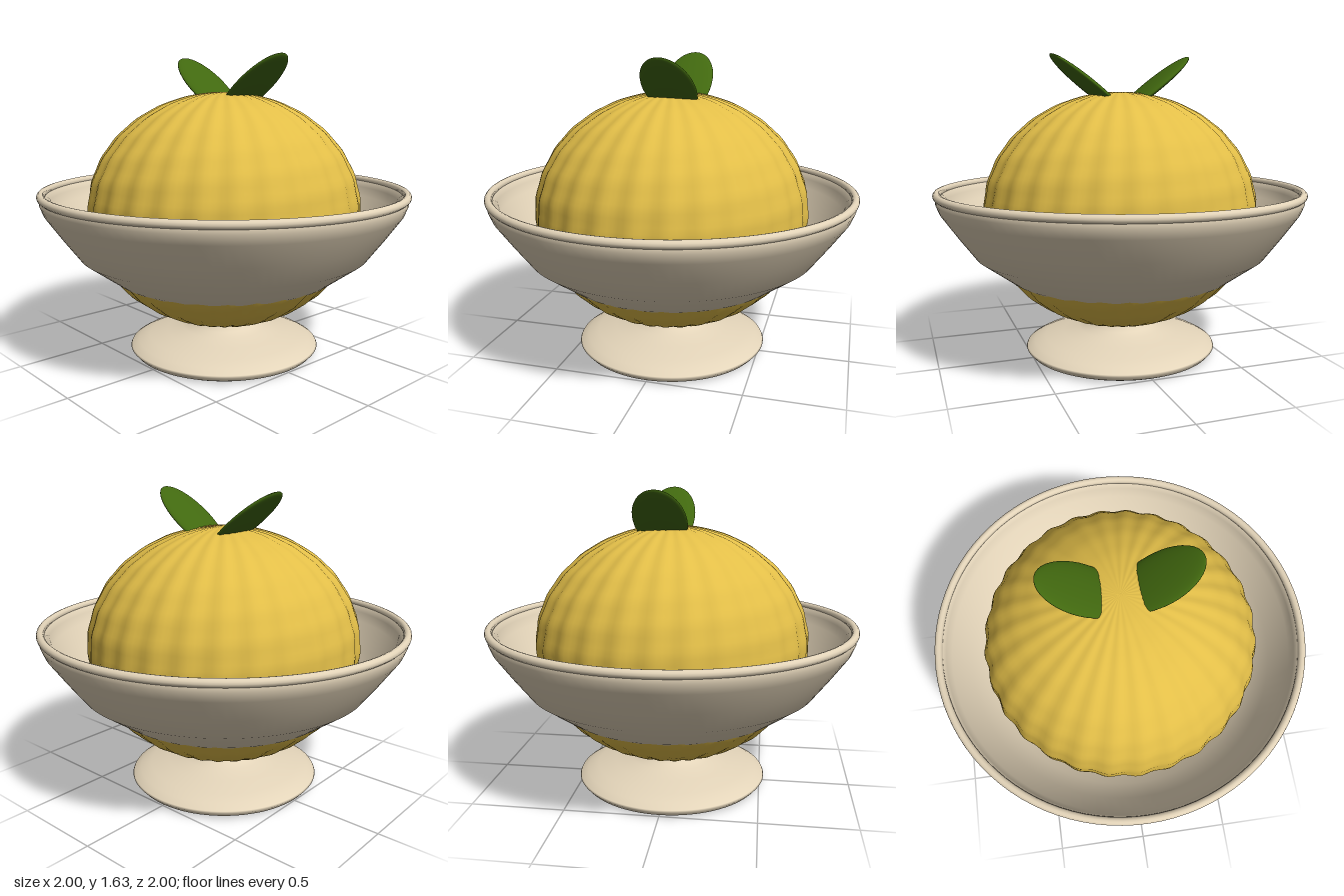
import * as THREE from 'three';

const mat = (name, color) => {
  const m = new THREE.MeshStandardMaterial({ color });
  m.name = name;
  return m;
};

const lathe = (name, pts, material) => {
  const mesh = new THREE.Mesh(
    new THREE.LatheGeometry(pts.map(([x, y]) => new THREE.Vector2(x, y)), 96), material);
  mesh.name = name;
  return mesh;
};

// Squashed ball with ribs running from pole to pole
function ribbedBall() {
  const geo = new THREE.SphereGeometry(1, 168, 64);
  const p = geo.attributes.position;
  const v = new THREE.Vector3();
  for (let i = 0; i < p.count; i++) {
    v.fromBufferAttribute(p, i);
    const around = Math.atan2(v.z, v.x);
    const fade = Math.hypot(v.x, v.z);
    const rib = Math.cos(28 * around + 1.5 * v.y) * 0.009;
    const ripple = Math.sin(Math.asin(THREE.MathUtils.clamp(v.y, -1, 1)) * 30 + 3 * around) * 0.003;
    v.multiplyScalar(1 + (rib + ripple) * fade);
    p.setXYZ(i, v.x * 0.735, v.y * 0.635, v.z * 0.735);
  }
  geo.computeVertexNormals();
  // Match the normals along the seam
  const n = geo.attributes.normal;
  for (let row = 0; row <= 64; row++) {
    const a = row * 169, b = a + 168;
    v.set(n.getX(a) + n.getX(b), n.getY(a) + n.getY(b), n.getZ(a) + n.getZ(b)).normalize();
    n.setXYZ(a, v.x, v.y, v.z);
    n.setXYZ(b, v.x, v.y, v.z);
  }
  return geo;
}

export function createModel() {
  const group = new THREE.Group();
  const cream = mat('cream ceramic', 0xe3d4b9);
  const yellow = mat('yellow sorbet', 0xe2be48);
  const green = mat('leaf green', 0x41680f);

  // Bowl: outer wall up to the rim, then the inner wall down
  group.add(lathe('bowl', [
    [0.1, 0.22], [0.3, 0.29], [0.46, 0.355], [0.61, 0.44], [0.79, 0.57], [0.88, 0.69],
    [0.965, 0.81], [0.985, 0.86], [0.985, 0.9],
    [0.96, 0.9], [0.945, 0.86], [0.925, 0.81], [0.84, 0.69], [0.75, 0.58], [0.58, 0.46], [0.3, 0.33], [0, 0.3],
  ], cream));

  const rim = new THREE.Mesh(new THREE.TorusGeometry(0.977, 0.021, 12, 96), cream);
  rim.name = 'rim';
  rim.rotation.x = Math.PI / 2;
  rim.position.y = 0.901;
  group.add(rim);

  // Flared foot and its flat underside
  group.add(lathe('foot', [
    [0.48, 0], [0.505, 0.012], [0.525, 0.035], [0.52, 0.045], [0.48, 0.068], [0.42, 0.088],
    [0.32, 0.11], [0.23, 0.13], [0.19, 0.15], [0.15, 0.18], [0.12, 0.25],
  ], cream));
  const base = new THREE.Mesh(new THREE.CircleGeometry(0.48, 96), cream);
  base.name = 'footUnderside';
  base.rotation.x = Math.PI / 2;
  group.add(base);

  const ball = new THREE.Mesh(ribbedBall(), yellow);
  ball.name = 'sorbetBall';
  ball.position.y = 0.8;
  group.add(ball);

  // Pair of flattened leaves spreading from the top
  for (const [name, side, x] of [['leftLeaf', 1, 0.187], ['rightLeaf', -1, -0.173]]) {
    const leaf = new THREE.Mesh(new THREE.SphereGeometry(1, 40, 24), green);
    leaf.name = name;
    leaf.scale.set(0.26, 0.028, 0.14);
    leaf.rotation.z = side * 0.66;
    leaf.position.set(x, 1.465, -0.037);
    group.add(leaf);
  }
  return group;
}
